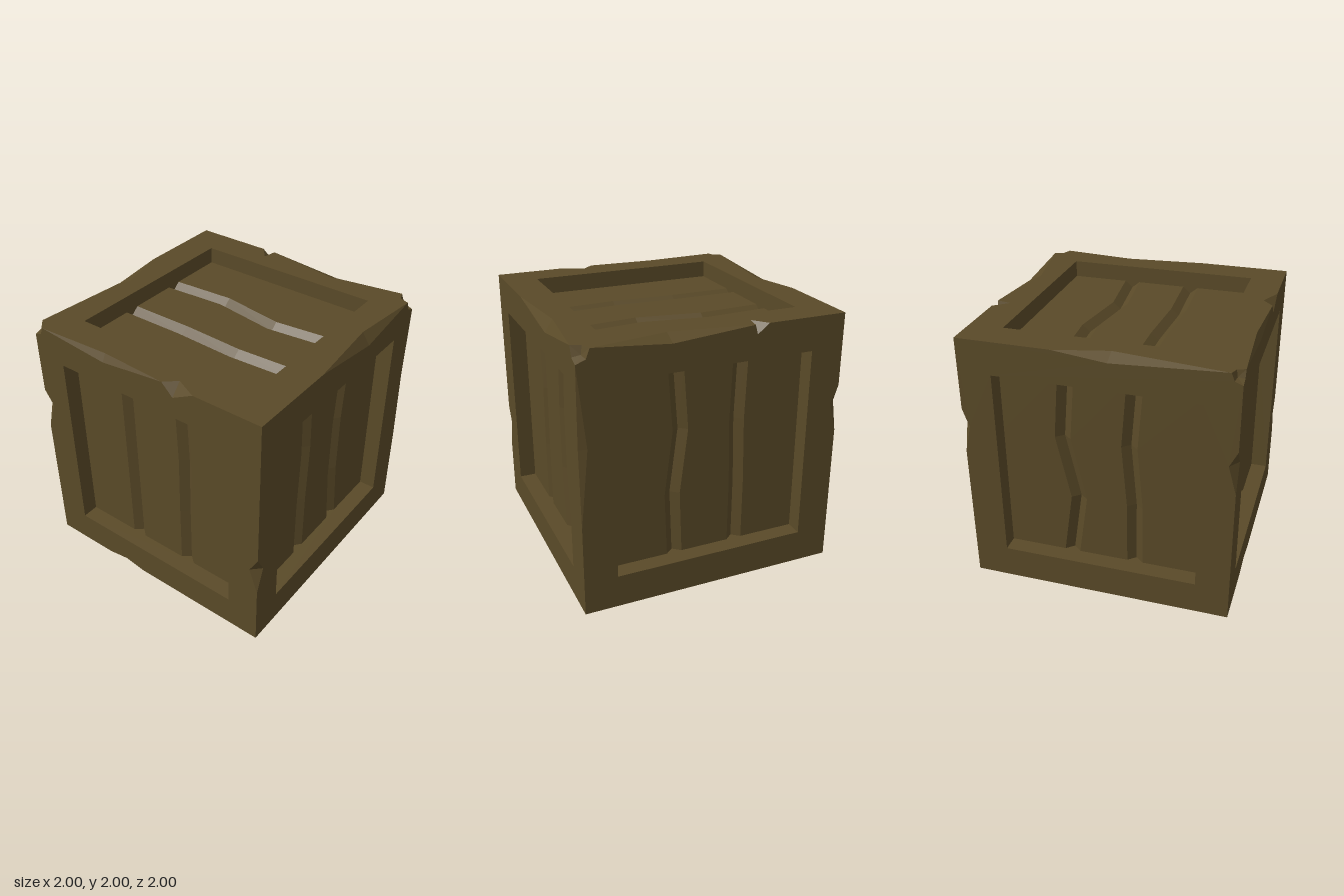
import * as THREE from 'three';

const INNER = 0.747, DEPTH = 0.13, GROOVE = 0.05, GROOVE_HALF = 0.06;
const STATIONS = [-INNER, -0.25, 0.25, INNER];

// One entry per side: basis (u across the planks, v along them, n outward)
// and the two groove lines, given as u at the four stations along v.
const SIDES = [
  { name: 'front', u: [1, 0, 0], v: [0, 1, 0], n: [0, 0, 1], grooves: [[-.25, -.25, -.25, -.25], [.25, .255, .265, .25]] },
  { name: 'back', u: [-1, 0, 0], v: [0, 1, 0], n: [0, 0, -1], grooves: [[-.25, -.27, -.21, -.25], [.25, .25, .235, .25]] },
  { name: 'left', u: [0, 0, -1], v: [0, 1, 0], n: [1, 0, 0], grooves: [[-.25, -.25, -.23, -.25], [.245, .2, .2, .245]] },
  { name: 'right', u: [0, 0, 1], v: [0, 1, 0], n: [-1, 0, 0], grooves: [[-.25, -.18, -.29, -.25], [.25, .25, .21, .25]] },
  { name: 'top', u: [0, 0, 1], v: [1, 0, 0], n: [0, 1, 0], grooves: [[-.25, -.28, -.2, -.25], [.25, .25, .275, .25]] },
  { name: 'bottom', u: [0, 0, -1], v: [1, 0, 0], n: [0, -1, 0], grooves: [[-.25, -.25, -.25, -.25], [.25, .26, .25, .25]] },
];

// Chips along edges: axis of the edge, signs of the next two axes (cyclic),
// start / deepest point / end along the axis, insets along those two axes.
const CHIPS = [
  { axis: 0, signs: [1, 1], span: [0.2, 0.29, 0.46], inset: [0.09, 0.08] },
  { axis: 0, signs: [1, 1], span: [-0.92, -0.33, 0.2], inset: [0.06, 0.03] },
  { axis: 0, signs: [1, -1], span: [-0.39, -0.3, -0.28], inset: [0.07, 0.11] },
  { axis: 0, signs: [1, -1], span: [-0.28, 0.33, 0.9], inset: [0.05, 0.1] },
  { axis: 0, signs: [-1, 1], span: [-0.48, -0.3, -0.12], inset: [0.03, 0.07] },
  { axis: 1, signs: [1, -1], span: [0.09, 0.31, 0.43], inset: [0.06, 0.08] },
  { axis: 1, signs: [1, 1], span: [-0.5, -0.3, -0.17], inset: [0.07, 0.07] },
  { axis: 1, signs: [-1, -1], span: [0.09, 0.31, 0.45], inset: [0.05, 0.06] },
  { axis: 1, signs: [-1, 1], span: [-0.3, 0.3, 0.9], inset: [0.02, 0.06] },
  { axis: 2, signs: [1, 1], span: [-0.9, -0.33, 0.3], inset: [0.06, 0.09] },
  { axis: 2, signs: [-1, 1], span: [-0.3, 0.1, 0.92], inset: [0.1, 0.045] },
];
const CORNER_CHIPS = [
  { at: [-1, 1, 1], size: 0.08 },
  { at: [1, 1, -1], size: 0.1 },
];

const vec = (a) => new THREE.Vector3(...a);

// Flat triangle soup with a helper that turns each triangle outward
class Soup {
  constructor() { this.pos = []; }
  tri(a, b, c, out) {
    const normal = b.clone().sub(a).cross(c.clone().sub(a));
    const order = normal.dot(out) >= 0 ? [a, b, c] : [a, c, b];
    order.forEach((p) => this.pos.push(p.x, p.y, p.z));
  }
  quad(a, b, c, d, out) { this.tri(a, b, c, out); this.tri(a, c, d, out); }
  geometry() {
    const g = new THREE.BufferGeometry();
    g.setAttribute('position', new THREE.Float32BufferAttribute(this.pos, 3));
    g.computeVertexNormals();
    return g;
  }
}

// Cuts the edges and corners; returns the facets and the points left on the edges
function cutChips() {
  const soup = new Soup(), rim = [];
  for (const { axis, signs, span, inset } of CHIPS) {
    const a = (axis + 1) % 3, b = (axis + 2) % 3;
    const point = (t, da, db) => {
      const p = [0, 0, 0];
      p[axis] = t;
      p[a] = signs[0] * (1 - da);
      p[b] = signs[1] * (1 - db);
      return vec(p);
    };
    const start = point(span[0], 0, 0), end = point(span[2], 0, 0);
    const pa = point(span[1], 0, inset[1]), pb = point(span[1], inset[0], 0);
    const out = point(0, 0, 0);
    soup.tri(start, pa, pb, out);
    soup.tri(end, pa, pb, out);
    rim.push(start, end, pa, pb);
  }
  for (const { at, size } of CORNER_CHIPS) {
    const pull = (amounts) => vec(at.map((s, i) => s * (1 - amounts[i] * size)));
    const k = 0.72;
    const ring = [[1, 0, 0], [k, k, 0], [0, 1, 0], [0, k, k], [0, 0, 1], [k, 0, k]].map(pull);
    const centre = pull([0.6, 0.6, 0.6]);
    ring.forEach((p, i) => soup.tri(centre, p, ring[(i + 1) % 6], vec(at)));
    rim.push(...ring);
  }
  for (let i = 0; i < 8; i++) {
    const c = [i & 1 ? 1 : -1, i & 2 ? 1 : -1, i & 4 ? 1 : -1];
    if (!CORNER_CHIPS.some(({ at }) => at.every((s, j) => s === c[j]))) rim.push(vec(c));
  }
  return { geometry: soup.geometry(), rim };
}

// Square frame face: chipped outline with a square opening
function frameFace(side, rim) {
  const [u, v, n] = [vec(side.u), vec(side.v), vec(side.n)];
  const outline = new Map();
  for (const p of rim) {
    if (Math.abs(p.dot(n) - 1) > 1e-6) continue;
    const q = new THREE.Vector2(p.dot(u), p.dot(v));
    outline.set(q.x.toFixed(4) + ',' + q.y.toFixed(4), q);
  }
  const points = [...outline.values()].sort((a, b) => Math.atan2(a.y, a.x) - Math.atan2(b.y, b.x));
  const shape = new THREE.Shape(points);
  const h = INNER;
  shape.holes.push(new THREE.Path([[-h, -h], [-h, h], [h, h], [h, -h]].map((p) => new THREE.Vector2(...p))));
  return new THREE.ShapeGeometry(shape)
    .translate(0, 0, 1)
    .applyMatrix4(new THREE.Matrix4().makeBasis(u, v, n));
}

// Recess walls around the opening, reaching down to the groove bottoms
function recessWalls(place) {
  const soup = new Soup(), h = INNER, low = 1 - DEPTH - GROOVE;
  const ring = [[-h, -h], [h, -h], [h, h], [-h, h]];
  ring.forEach(([x0, y0], i) => {
    const [x1, y1] = ring[(i + 1) % 4];
    const inward = place(-(x0 + x1), -(y0 + y1), 0);
    soup.quad(place(x0, y0, 1), place(x1, y1, 1), place(x1, y1, low), place(x0, y0, low), inward);
  });
  return soup.geometry();
}

// Planks separated by two bent V grooves
function plankPanel(place, grooves) {
  const soup = new Soup(), top = 1 - DEPTH, w = GROOVE_HALF;
  const rows = STATIONS.map((v, i) => {
    const profile = [[-INNER, 0]];
    for (const g of grooves) profile.push([g[i] - w, 0], [g[i], GROOVE], [g[i] + w, 0]);
    profile.push([INNER, 0]);
    return profile.map(([u, d]) => place(u, v, top - d));
  });
  const out = place(0, 0, 1);
  for (let i = 0; i < rows.length - 1; i++) {
    for (let j = 0; j < rows[i].length - 1; j++) {
      soup.quad(rows[i][j], rows[i][j + 1], rows[i + 1][j + 1], rows[i + 1][j], out);
    }
  }
  return soup.geometry();
}

export function createModel() {
  const crate = new THREE.Group();
  crate.name = 'crate';
  const wood = new THREE.MeshStandardMaterial({ color: 0x5a4a28, flatShading: true });
  const add = (parent, name, geometry) => {
    const mesh = new THREE.Mesh(geometry, wood);
    mesh.name = name;
    parent.add(mesh);
  };

  const { geometry, rim } = cutChips();
  add(crate, 'chippedEdges', geometry);

  for (const side of SIDES) {
    const group = new THREE.Group();
    group.name = side.name + 'Side';
    const basis = new THREE.Matrix4().makeBasis(vec(side.u), vec(side.v), vec(side.n));
    const place = (u, v, n) => new THREE.Vector3(u, v, n).applyMatrix4(basis);
    add(group, side.name + 'Frame', frameFace(side, rim));
    add(group, side.name + 'RecessWalls', recessWalls(place));
    add(group, side.name + 'Planks', plankPanel(place, side.grooves));
    crate.add(group);
  }

  // Rest the crate on the ground
  crate.children.forEach((part) => { part.position.y = 1; });
  return crate;
}
